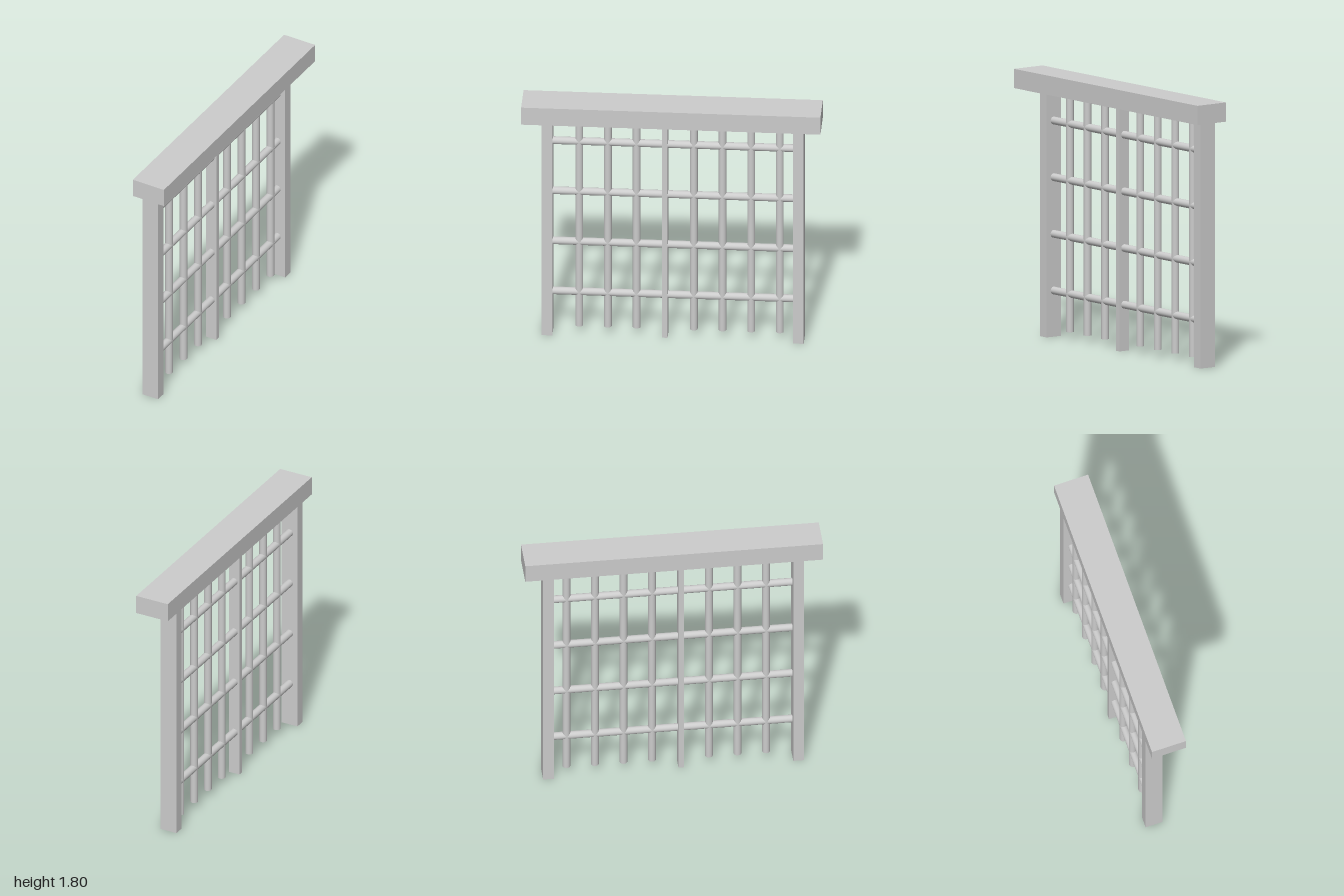
import * as THREE from 'three';

const material = new THREE.MeshStandardMaterial({ color: 0xcccccc });

// Box given by its min and max corners
function box(name, [x0, y0, z0], [x1, y1, z1]) {
  const mesh = new THREE.Mesh(new THREE.BoxGeometry(x1 - x0, y1 - y0, z1 - z0), material);
  mesh.position.set((x0 + x1) / 2, (y0 + y1) / 2, (z0 + z1) / 2);
  mesh.name = name;
  return mesh;
}

// Round bar, upright or turned to lie along z
function bar(name, length, position, alongZ = false) {
  const geometry = new THREE.CylinderGeometry(0.026, 0.026, length, 24);
  if (alongZ) geometry.rotateX(Math.PI / 2);
  const mesh = new THREE.Mesh(geometry, material);
  mesh.position.set(...position);
  mesh.name = name;
  return mesh;
}

export function createModel() {
  const group = new THREE.Group();
  group.name = 'barredGate';
  const beamBottom = 1.67, barBottom = 0.055, barX = -0.06;

  // Overhanging top beam
  group.add(box('topBeam', [-0.12, beamBottom, -1], [0.12, 1.8, 1]));

  // Side posts and the thin centre post, flush with one side of the beam
  group.add(box('frontPost', [-0.12, 0, 0.8], [0, beamBottom, 0.872]));
  group.add(box('backPost', [-0.12, 0, -0.88], [0, beamBottom, -0.808]));
  group.add(box('centrePost', [-0.1, 0, 0.031], [-0.02, beamBottom, 0.067]));

  // Upright bars, leaving out the place of the centre post
  for (let i = 0; i < 8; i++) {
    if (i === 3) continue;
    const z = 0.624 - i * 0.1915;
    group.add(bar('uprightBar', beamBottom - barBottom, [barX, (beamBottom + barBottom) / 2, z]));
  }

  // Cross bars between the side posts
  for (let i = 0; i < 4; i++) {
    group.add(bar('crossBar', 1.612, [barX, 0.312 + i * 0.3825, -0.004], true));
  }
  return group;
}
